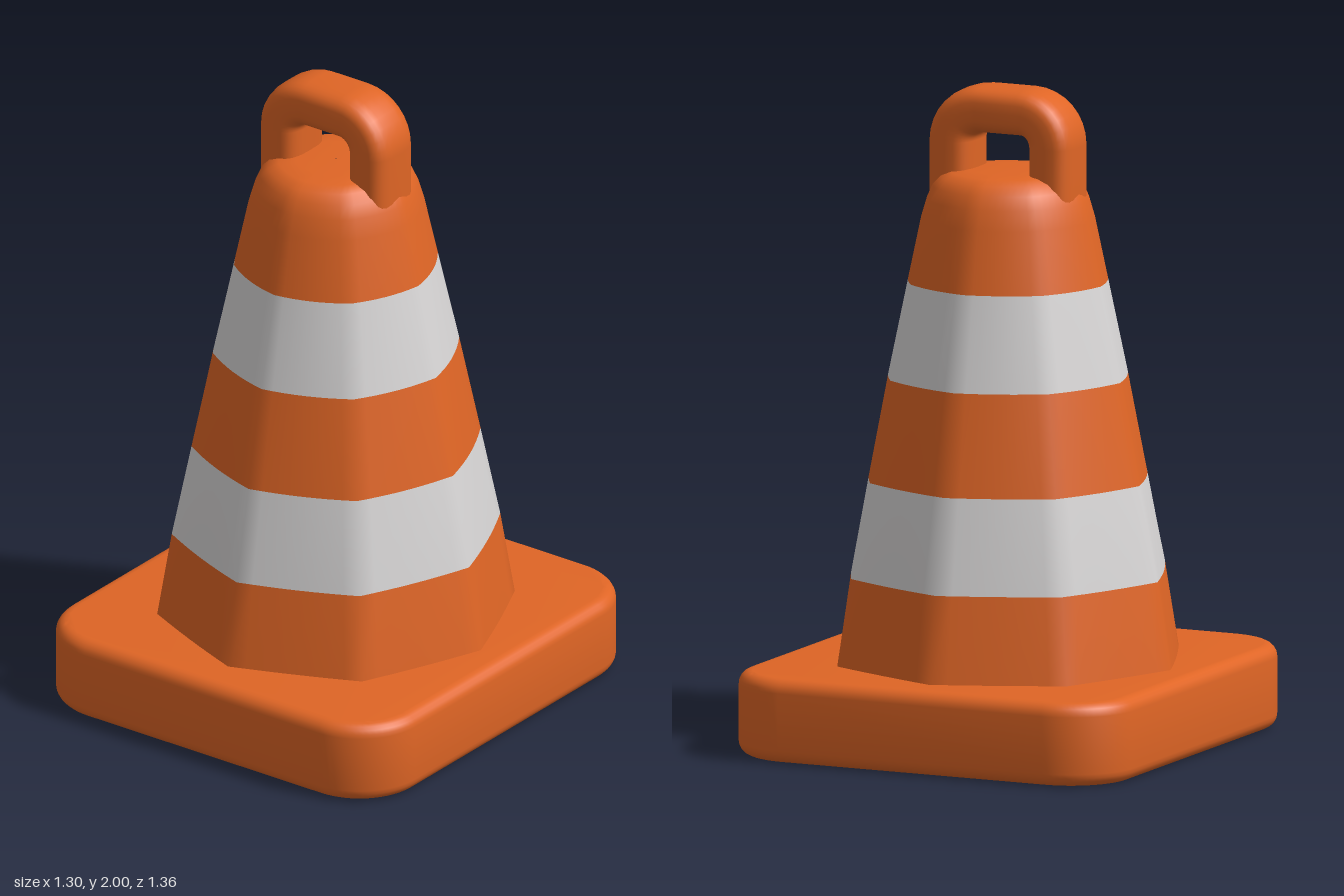
import * as THREE from 'three';
import { toCreasedNormals } from 'three/addons/utils/BufferGeometryUtils.js';

const orange = new THREE.MeshStandardMaterial({ color: 0xdf6525 });
orange.name = 'orange';
const white = new THREE.MeshStandardMaterial({ color: 0xd8d6d6 });
white.name = 'white';

// Joins closed rings of points (all the same length) into one smooth skin.
// materialOf(i) gives the material index of the strip above ring i.
function loft(rings, materialOf = () => 0) {
  const n = rings[0].length;
  const geo = new THREE.BufferGeometry();
  const index = [];
  for (let i = 0; i < rings.length - 1; i++) {
    geo.addGroup(index.length, n * 6, materialOf(i));
    for (let j = 0; j < n; j++) {
      const k = (j + 1) % n;
      const a = i * n + j, b = i * n + k, c = a + n, d = b + n;
      index.push(a, c, b, b, c, d);
    }
  }
  geo.setAttribute('position', new THREE.Float32BufferAttribute(rings.flat(2), 3));
  geo.setIndex(index);
  geo.computeVertexNormals();
  return geo;
}

// Square foot with rounded corners and softened edges
function makeBase() {
  const bevel = 0.04, x = 0.65 - bevel, z = 0.68 - bevel, r = 0.17;
  const s = new THREE.Shape();
  s.absarc(x - r, z - r, r, 0, Math.PI / 2);
  s.absarc(-x + r, z - r, r, Math.PI / 2, Math.PI);
  s.absarc(-x + r, -z + r, r, Math.PI, Math.PI * 1.5);
  s.absarc(x - r, -z + r, r, Math.PI * 1.5, Math.PI * 2);
  s.closePath();
  const geo = new THREE.ExtrudeGeometry(s, {
    depth: 0.255 - 2 * bevel, bevelSize: bevel, bevelThickness: bevel,
    bevelSegments: 5, curveSegments: 8,
  });
  geo.rotateX(-Math.PI / 2).translate(0, bevel, 0);
  return new THREE.Mesh(toCreasedNormals(geo, 0.6), orange);
}

// Tapering body: soft octagon at the foot, nearly round at the top
function makeCone() {
  const profile = [
    [0.55, 0.22], [0.5, 0.52], [0.44, 0.81], [0.375, 1.12], [0.31, 1.41],
    [0.268, 1.6], [0.25, 1.66], [0.232, 1.7], [0.208, 1.727], [0.175, 1.742],
    [0.12, 1.747], [0.001, 1.747],
  ];
  const sides = 64;
  const rings = profile.map(([r, y]) => {
    const k = THREE.MathUtils.lerp(0.9, 0.3, THREE.MathUtils.clamp((y - 0.25) / 1.3, 0, 1));
    return Array.from({ length: sides }, (_, j) => {
      const t = (j / sides) * Math.PI * 2;
      const octagon = Math.cos(Math.PI / 8) / Math.cos((t % (Math.PI / 4)) - Math.PI / 8);
      const q = r * (1 - k + k * octagon);
      return [q * Math.cos(t), y, q * Math.sin(t)];
    });
  });
  // the second and fourth strips are the reflective bands
  return new THREE.Mesh(loft(rings, (i) => (i === 1 || i === 3 ? 1 : 0)), [orange, white]);
}

// Carrying loop: a rounded oblong section swept along an arch
function makeHandle() {
  const legX = 0.167, topY = 1.93, bend = 0.1;
  const path = [[-legX, 1.64, Math.PI]]; // x, y, angle of the outward direction
  for (const [cx, from] of [[-legX + bend, Math.PI], [legX - bend, Math.PI / 2]]) {
    for (let i = 0; i <= 8; i++) {
      const a = from - (i / 8) * (Math.PI / 2);
      path.push([cx + bend * Math.cos(a), topY - bend + bend * Math.sin(a), a]);
    }
  }
  path.push([legX, 1.64, 0]);
  const soft = (v) => Math.sign(v) * Math.abs(v) ** 0.62;
  const rings = path.map(([x, y, a]) => Array.from({ length: 28 }, (_, j) => {
    const t = (j / 28) * Math.PI * 2;
    const out = 0.071 * soft(Math.cos(t));
    return [x + out * Math.cos(a), y + out * Math.sin(a), 0.096 * soft(Math.sin(t))];
  }));
  // ring order runs left to right, so each ring is reversed to face outward when needed
  const geo = loft(rings.map((ring) => ring.slice().reverse()));
  return new THREE.Mesh(geo, orange);
}

export function createModel() {
  const model = new THREE.Group();
  model.name = 'trafficCone';
  const parts = { base: makeBase(), stripedCone: makeCone(), handle: makeHandle() };
  for (const [name, mesh] of Object.entries(parts)) {
    mesh.name = name;
    model.add(mesh);
  }
  return model;
}
